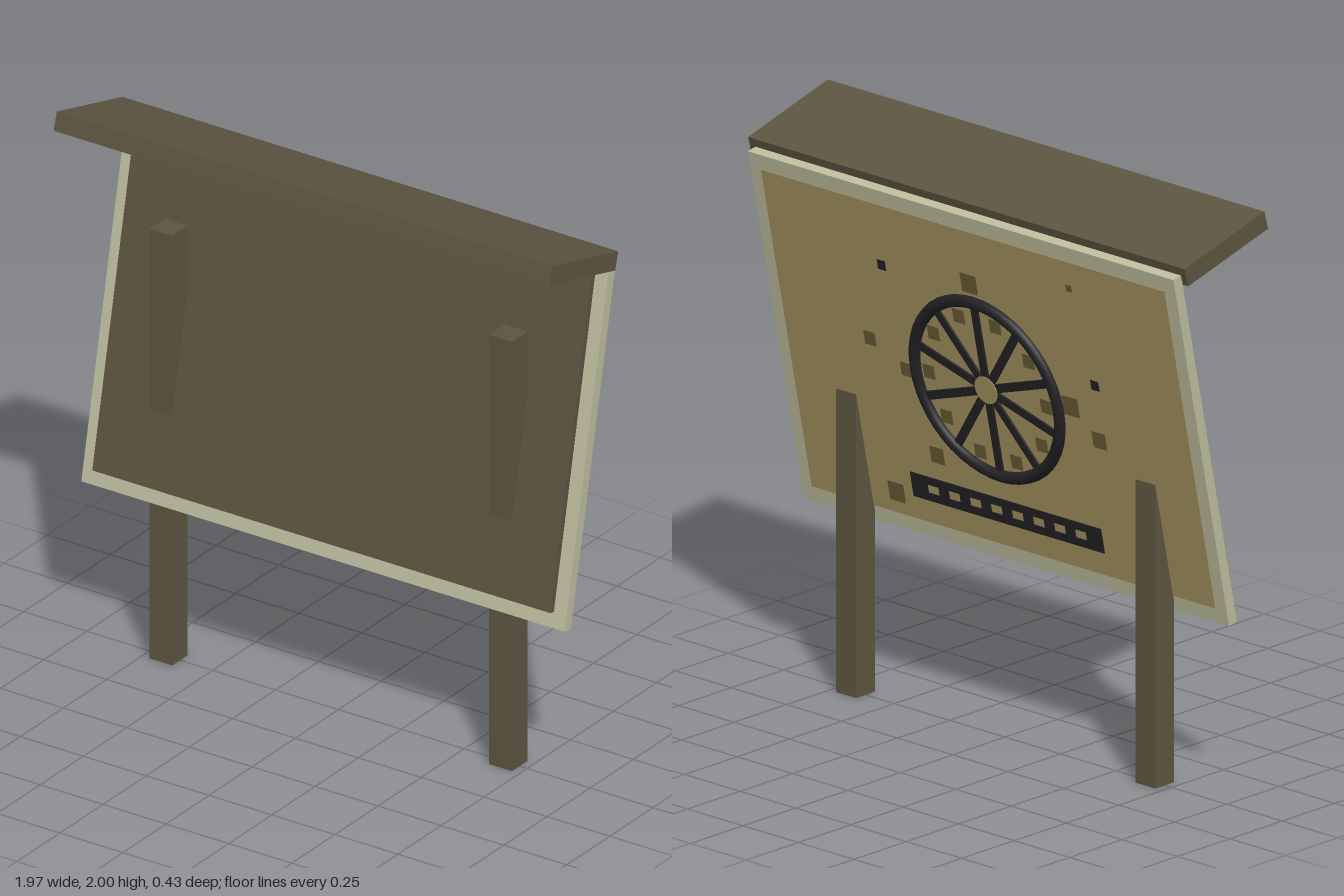
import * as THREE from 'three';

const mat = (name, color) => {
  const m = new THREE.MeshStandardMaterial({ color });
  m.name = name;
  return m;
};

export function createModel() {
  const wood = mat('brown wood', 0x5c5440);
  const trim = mat('pale khaki', 0xbcbc9e);
  const tan = mat('tan panel', 0xa6925e);
  const iron = mat('black iron', 0x222226);
  const olive = mat('dark olive', 0x6a5c34);

  const add = (parent, name, geometry, material, x = 0, y = 0, z = 0) => {
    const mesh = new THREE.Mesh(geometry, material);
    mesh.name = name;
    mesh.position.set(x, y, z);
    parent.add(mesh);
    return mesh;
  };
  const box = (w, h, d) => new THREE.BoxGeometry(w, h, d);

  const model = new THREE.Group();
  model.name = 'signBoard';

  // Two square posts
  for (const side of [1, -1]) {
    add(model, side > 0 ? 'leftPost' : 'rightPost', box(0.09, 1.58, 0.09), wood, side * 0.675, 0.79, 0);
  }

  // Sloping roof plank
  add(model, 'roof', box(1.97, 0.066, 0.395), wood, 0, 1.914, 0.014).rotation.x = -0.272;

  // Leaning board: pale frame, wooden front, tan back
  const board = new THREE.Group();
  board.name = 'board';
  board.position.set(0, 1.2285, -0.061);
  board.rotation.x = -0.207;
  model.add(board);
  add(board, 'frame', box(1.92, 1.29, 0.038), trim);
  add(board, 'frontPanel', box(1.82, 1.18, 0.022), wood, 0, 0, 0.029);
  add(board, 'backPanel', box(1.82, 1.18, 0.004), tan, 0, 0, -0.019);

  // Spoked wheel on the back
  const wheel = new THREE.Group();
  wheel.name = 'wheel';
  wheel.position.z = -0.022;
  board.add(wheel);
  add(wheel, 'rim', new THREE.TorusGeometry(0.322, 0.022, 12, 48), iron);
  const spokes = 10;
  for (let i = 0; i < spokes; i++) {
    const a = Math.PI / 2 + (i * Math.PI * 2) / spokes;
    const spoke = add(wheel, 'spoke', box(0.27, 0.03, 0.014), iron, 0.18 * Math.cos(a), 0.18 * Math.sin(a), 0);
    spoke.rotation.z = a;
    // Patches in the gaps just inside the rim
    const b = a + Math.PI / spokes;
    add(wheel, 'innerPatch', box(0.05, 0.05, 0.004), olive, 0.265 * Math.cos(b), 0.265 * Math.sin(b), 0);
  }
  add(wheel, 'hub', new THREE.CylinderGeometry(0.05, 0.05, 0.02, 24), tan).rotation.x = Math.PI / 2;

  // Slotted bar below the wheel
  const bar = new THREE.Shape();
  bar.moveTo(-0.43, -0.045).lineTo(0.43, -0.045).lineTo(0.43, 0.045).lineTo(-0.43, 0.045).closePath();
  for (let i = 0; i < 8; i++) {
    const x = (i - 3.5) * 0.095;
    const slot = new THREE.Path();
    slot.moveTo(x - 0.026, -0.016).lineTo(x - 0.026, 0.016).lineTo(x + 0.026, 0.016).lineTo(x + 0.026, -0.016).closePath();
    bar.holes.push(slot);
  }
  add(board, 'slottedBar', new THREE.ExtrudeGeometry(bar, { depth: 0.006, bevelEnabled: false }), iron, 0, -0.459, -0.025);

  // Scattered painted patches: x, y, size
  const patches = [
    [0.01, 0.39, 0.07], [0.52, 0.06, 0.05], [-0.46, 0.49, 0.025], [-0.38, 0.03, 0.07],
    [-0.49, -0.07, 0.06], [0.51, -0.51, 0.07], [0.29, -0.32, 0.06], [0.37, -0.02, 0.05],
  ];
  for (const [x, y, s] of patches) add(board, 'patch', box(s, s, 0.004), olive, x, y, -0.021);
  for (const [x, y] of [[0.41, 0.36], [-0.51, 0.14]]) {
    add(board, 'darkSpot', box(0.035, 0.035, 0.004), iron, x, y, -0.021);
  }

  return model;
}
